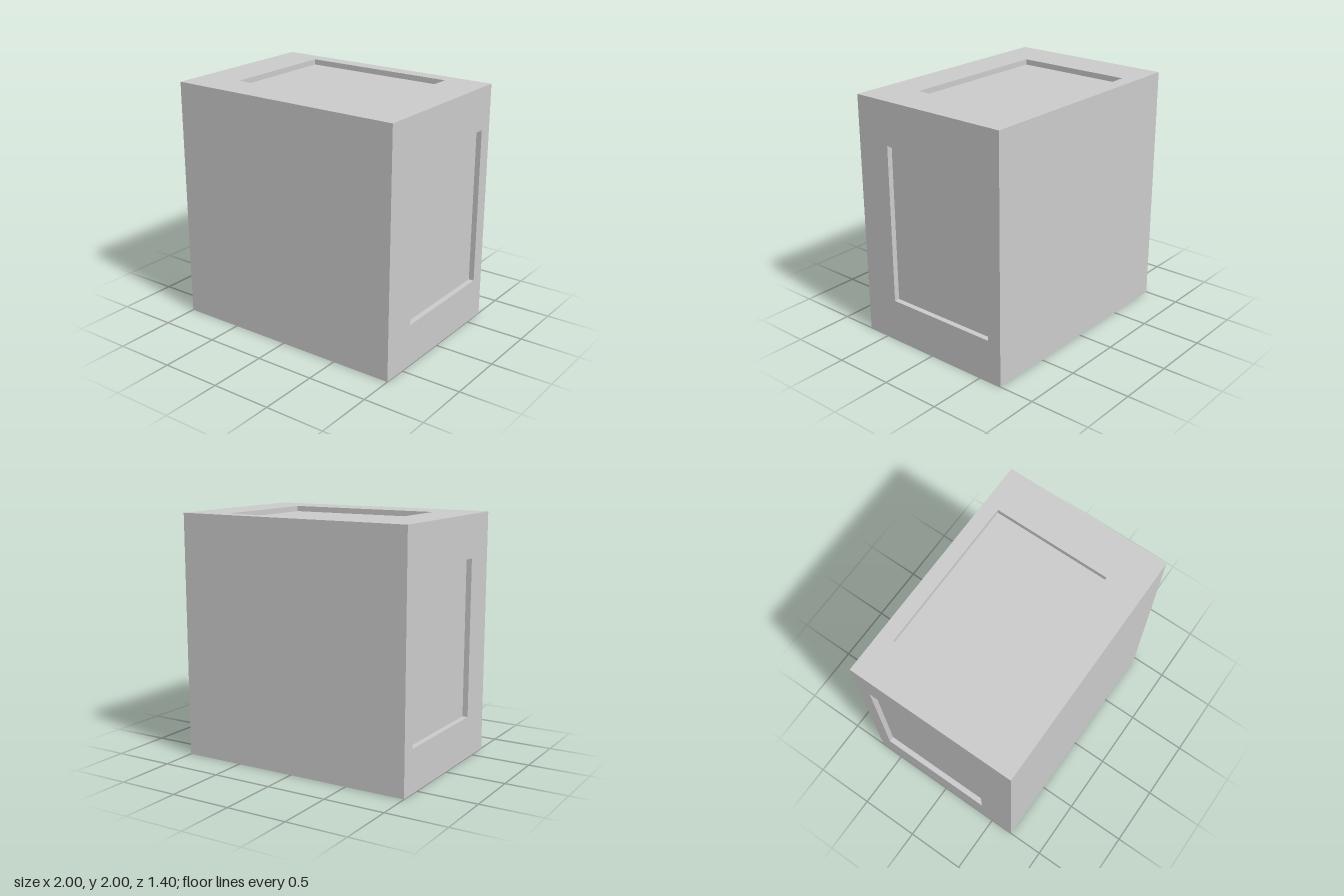
import * as THREE from 'three';

const HALF = 1;        // half width and half height of the block
const HALF_DEPTH = 0.7;
const RECESS = { x: 0.65, front: 0.4, back: -0.58, depth: 0.045 };

// Four corners of a rectangle at height y, anticlockwise seen from above
const ring = (x, y, front, back) => [[-x, y, front], [x, y, front], [x, y, back], [-x, y, back]];

// Upward-facing panel: flat border, recess walls and recess floor
function recessedPanelGeometry() {
  const { x, front, back, depth } = RECESS;
  const rings = [
    ring(HALF, HALF, HALF_DEPTH, -HALF_DEPTH),
    ring(x, HALF, front, back),
    ring(x, HALF - depth, front, back),
  ];
  const positions = [];
  const quad = (a, b, c, d) => positions.push(...a, ...b, ...c, ...a, ...c, ...d);
  for (let r = 0; r < 2; r++) {
    for (let i = 0; i < 4; i++) {
      const j = (i + 1) % 4;
      quad(rings[r][i], rings[r][j], rings[r + 1][j], rings[r + 1][i]);
    }
  }
  quad(...rings[2]);
  const geometry = new THREE.BufferGeometry();
  geometry.setAttribute('position', new THREE.Float32BufferAttribute(positions, 3));
  geometry.computeVertexNormals();
  return geometry;
}

export function createModel() {
  const model = new THREE.Group();
  model.name = 'recessedBlock';
  const material = new THREE.MeshStandardMaterial({ color: 0xcccccc, flatShading: true });

  // The same recessed panel, turned around the block's depth axis
  const panel = recessedPanelGeometry();
  ['topPanel', 'rightPanel', 'bottomPanel', 'leftPanel'].forEach((name, i) => {
    const mesh = new THREE.Mesh(panel, material);
    mesh.name = name;
    // a quarter turn anticlockwise moves the top to -x, the model's right
    mesh.rotation.z = i * Math.PI / 2;
    mesh.position.y = HALF;
    model.add(mesh);
  });

  // Plain front and back faces
  const face = new THREE.PlaneGeometry(2 * HALF, 2 * HALF);
  ['frontFace', 'backFace'].forEach((name, i) => {
    const mesh = new THREE.Mesh(face, material);
    mesh.name = name;
    mesh.rotation.y = i * Math.PI;
    mesh.position.set(0, HALF, i ? -HALF_DEPTH : HALF_DEPTH);
    model.add(mesh);
  });

  return model;
}
